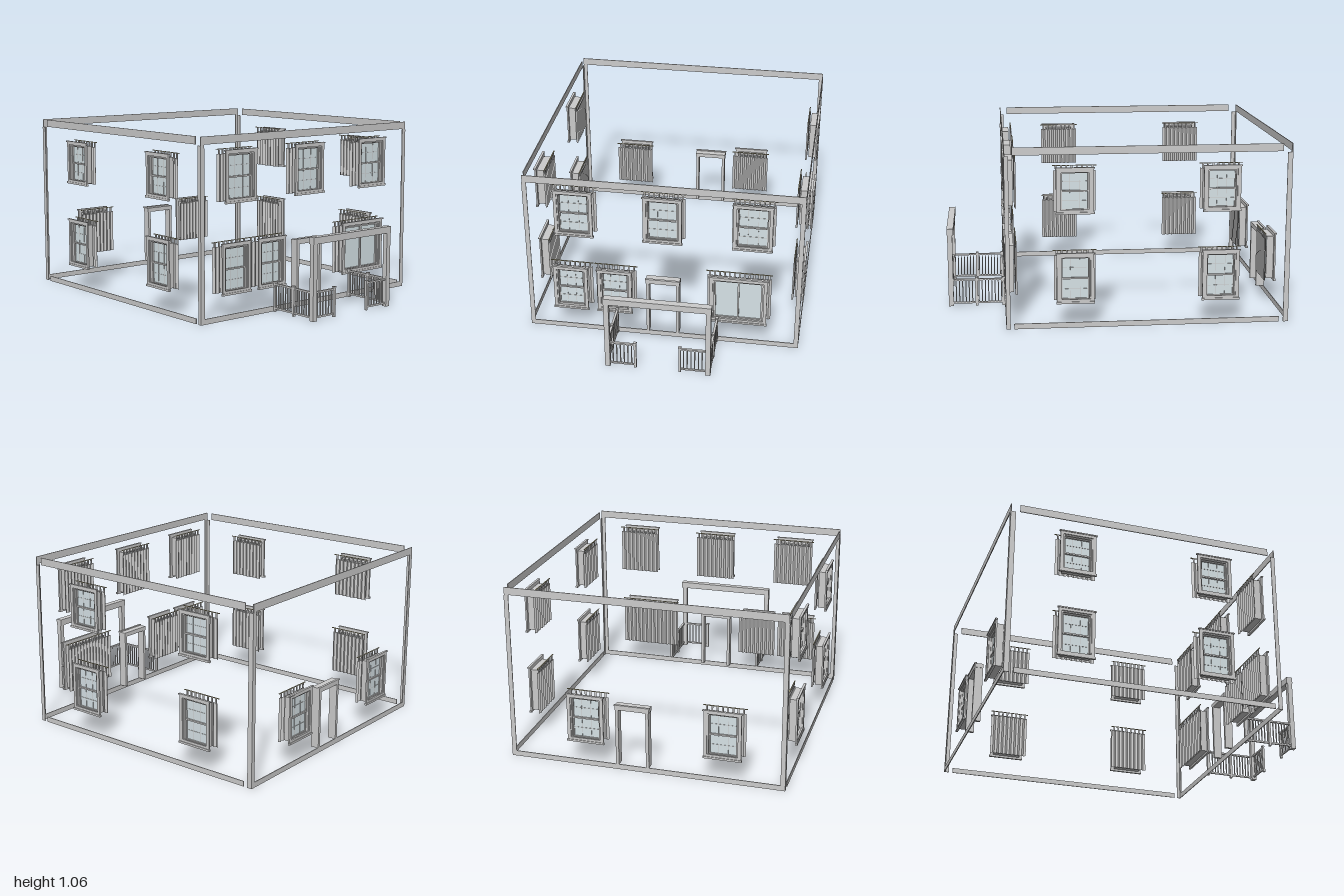
import * as THREE from 'three';

const trim = new THREE.MeshStandardMaterial({ color: 0xcccccc, side: THREE.DoubleSide });
const glassMat = new THREE.MeshStandardMaterial({ color: 0xd6e2e6 });
const rodMat = new THREE.MeshStandardMaterial({ color: 0xb8b08a });

// Box given by its min and max corners
function box(parent, name, x0, x1, y0, y1, z0, z1, mat = trim) {
  const m = new THREE.Mesh(new THREE.BoxGeometry(x1 - x0, y1 - y0, z1 - z0), mat);
  m.position.set((x0 + x1) / 2, (y0 + y1) / 2, (z0 + z1) / 2);
  m.name = name;
  parent.add(m);
  return m;
}

// Rectangular frame: outer size w x h centred on x, standing on y0, border t
function frame(parent, name, w, y0, y1, t, z0, z1) {
  const s = new THREE.Shape();
  s.moveTo(-w / 2, y0).lineTo(w / 2, y0).lineTo(w / 2, y1).lineTo(-w / 2, y1).closePath();
  const p = new THREE.Path();
  const a = w / 2 - t;
  p.moveTo(-a, y0 + t).lineTo(-a, y1 - t).lineTo(a, y1 - t).lineTo(a, y0 + t).closePath();
  s.holes.push(p);
  const m = new THREE.Mesh(new THREE.ExtrudeGeometry(s, { depth: z1 - z0, bevelEnabled: false }), trim);
  m.position.z = z0;
  m.name = name;
  parent.add(m);
}

// Pleated curtain hung by tabs from a rod behind the window
function curtain(parent, w, y0, y1) {
  const g = new THREE.Group();
  g.name = 'curtain';
  const n = Math.round(w / 0.014);
  const geo = new THREE.PlaneGeometry(w, y1 - y0 - 0.03, n, 1);
  const p = geo.attributes.position;
  for (let i = 0; i < p.count; i++) p.setZ(i, (i % (n + 1)) % 2 ? 0.005 : -0.005);
  const cloth = new THREE.Mesh(geo.toNonIndexed(), trim);
  cloth.geometry.computeVertexNormals();
  cloth.name = 'curtainCloth';
  cloth.position.set(0, (y0 + y1 - 0.03) / 2, -0.06);
  g.add(cloth);
  const tabs = Math.round(w / 0.03);
  for (let i = 0; i < tabs; i++) {
    const x = -w / 2 + (i + 0.5) * w / tabs;
    box(g, 'curtainTab', x - 0.005, x + 0.005, y1 - 0.035, y1, -0.064, -0.058);
  }
  box(g, 'curtainRod', -w / 2 - 0.006, w / 2 + 0.006, y1 - 0.004, y1, -0.064, -0.058, rodMat);
  parent.add(g);
}

// Window facing +z; the wall plane is z = 0
function makeWindow(w, y0, y1, { picture = false, curtainW = w + 0.025 } = {}) {
  const g = new THREE.Group();
  g.name = 'window';
  const gw = w - 0.05, b = y0 + 0.018, t = y1 - 0.03, mid = (b + t) / 2;
  frame(g, 'casing', w, y0 + 0.006, y1 - 0.006, 0.02, -0.004, 0.006);
  box(g, 'sill', -w / 2 - 0.004, w / 2 + 0.004, y0, y0 + 0.012, -0.004, 0.01);
  box(g, 'headCap', -w / 2 - 0.006, w / 2 + 0.006, y1 - 0.01, y1 - 0.003, -0.004, 0.01);
  frame(g, 'jamb', gw + 0.01, b - 0.005, t + 0.005, 0.008, -0.047, -0.001);
  box(g, 'glass', -gw / 2, gw / 2, b, t, -0.026, -0.022, glassMat);
  if (picture) {
    frame(g, 'sash', gw, b, t, 0.012, -0.028, -0.012);
    box(g, 'mullion', -0.005, 0.005, b, t, -0.028, -0.012);
  } else {
    // Double-hung sashes with thin glazing bars
    frame(g, 'lowerSash', gw, b, mid + 0.004, 0.009, -0.028, -0.016);
    frame(g, 'upperSash', gw, mid - 0.004, t, 0.009, -0.028, -0.012);
    for (const [lo, hi] of [[b, mid], [mid, t]]) {
      for (const k of [-1, 1]) box(g, 'glazingBar', k * gw / 6 - 0.001, k * gw / 6 + 0.001, lo, hi, -0.027, -0.02);
      const y = (lo + hi) / 2;
      box(g, 'glazingBar', -gw / 2, gw / 2, y - 0.001, y + 0.001, -0.027, -0.02);
    }
  }
  curtain(g, curtainW, y0 + 0.005, y1);
  return g;
}

// Door surround facing +z: deep jambs, head and a thin casing
function makeDoor(w) {
  const g = new THREE.Group();
  g.name = 'doorFrame';
  for (const s of [-1, 1]) {
    const a = s * w / 2, b = s * (w / 2 - 0.018);
    box(g, 'doorJamb', Math.min(a, b), Math.max(a, b), 0.03, 0.38, -0.045, 0.006);
  }
  box(g, 'doorHead', -w / 2 - 0.003, w / 2 + 0.003, 0.378, 0.405, -0.045, 0.006);
  box(g, 'doorCap', -w / 2 - 0.006, w / 2 + 0.006, 0.403, 0.41, -0.004, 0.01);
  return g;
}

// Railing of given length along +x from the origin
function railing(len, count) {
  const g = new THREE.Group();
  g.name = 'railing';
  box(g, 'topRail', 0, len, 0.16, 0.17, -0.007, 0.007);
  box(g, 'bottomRail', 0, len, 0.015, 0.025, -0.005, 0.005);
  for (let i = 1; i <= count; i++) {
    const x = len * i / (count + 1);
    box(g, 'baluster', x - 0.003, x + 0.003, 0.02, 0.165, -0.003, 0.003);
  }
  return g;
}

export function createModel() {
  const house = new THREE.Group();
  house.name = 'houseTrim';
  const X = 0.825, F = 0.65, B = -0.99, T = 0.005;

  // Horizontal bands at floor and eaves, on all four walls
  for (const [y0, y1, name] of [[0, 0.032, 'baseBand'], [1.015, 1.06, 'eavesBand']]) {
    box(house, name, -X, X, y0, y1, F, F + T);
    box(house, name, -X, X, y0, y1, B - T, B);
    for (const s of [-1, 1]) box(house, name, s * X - T / 2, s * X + T / 2, y0, y1, -0.94, 0.61);
  }

  // L-shaped corner boards
  for (const s of [-1, 1]) {
    const x0 = s > 0 ? 0.8 : -X, x1 = s > 0 ? X : -0.8;
    box(house, 'cornerBoard', x0, x1, 0, 1.015, F, F + T);
    box(house, 'cornerBoard', x0, x1, 0, 1.015, B - T, B);
    box(house, 'cornerBoard', s * X - T / 2, s * X + T / 2, 0, 1.01, F - 0.02, F + T);
    box(house, 'cornerBoard', s * X - T / 2, s * X + T / 2, 0, 1.01, B - T, B + 0.025);
  }

  const place = (part, x, z, turn) => {
    part.position.set(x, 0, z);
    part.rotation.y = turn;
    house.add(part);
  };

  // Front wall
  for (const x of [-0.53, 0, 0.53]) place(makeWindow(0.23, 0.67, 0.978), x, F, 0);
  place(makeWindow(0.21, 0.145, 0.448, { curtainW: 0.25 }), -0.565, F, 0);
  place(makeWindow(0.21, 0.145, 0.448, { curtainW: 0.25 }), -0.295, F, 0);
  place(makeWindow(0.345, 0.145, 0.468, { picture: true, curtainW: 0.385 }), 0.455, F, 0);
  place(makeDoor(0.2), 0, F, 0);

  // Back wall
  for (const x of [-0.46, 0.36]) place(makeWindow(0.22, 0.145, 0.448), x, B, Math.PI);
  place(makeDoor(0.2), 0.075, B, Math.PI);

  // Side walls
  for (const s of [-1, 1]) for (const z of [0.255, -0.59]) {
    place(makeWindow(0.215, 0.672, 0.945), s * X, z, s * Math.PI / 2);
    place(makeWindow(0.215, 0.145, 0.448), s * X, z, s * Math.PI / 2);
  }

  // Porch: beam, posts, newels and railings
  const porch = new THREE.Group();
  porch.name = 'porch';
  box(porch, 'porchBeam', -0.29, 0.34, 0.445, 0.485, 0.96, 1.0);
  box(porch, 'porchPost', -0.29, -0.26, 0, 0.445, 0.967, 0.997);
  box(porch, 'porchPost', 0.308, 0.338, 0, 0.445, 0.967, 0.997);
  const newel = (x, z) => {
    box(porch, 'newel', x - 0.007, x + 0.007, 0, 0.172, z - 0.007, z + 0.007);
    box(porch, 'newelCap', x - 0.009, x + 0.009, 0.172, 0.18, z - 0.009, z + 0.009);
  };
  for (const [x, cx] of [[-0.265, -0.11], [0.155, 0.155]]) {
    const r = railing(0.155, 6);
    r.position.set(x, 0, 0.982);
    porch.add(r);
    newel(cx, 0.982);
  }
  for (const x of [-0.28, 0.332]) {
    const r = railing(0.315, 15);
    r.position.set(x, 0, 0.97);
    r.rotation.y = Math.PI / 2;
    porch.add(r);
    newel(x, 0.825);
    newel(x, 0.663);
  }
  house.add(porch);
  return house;
}
